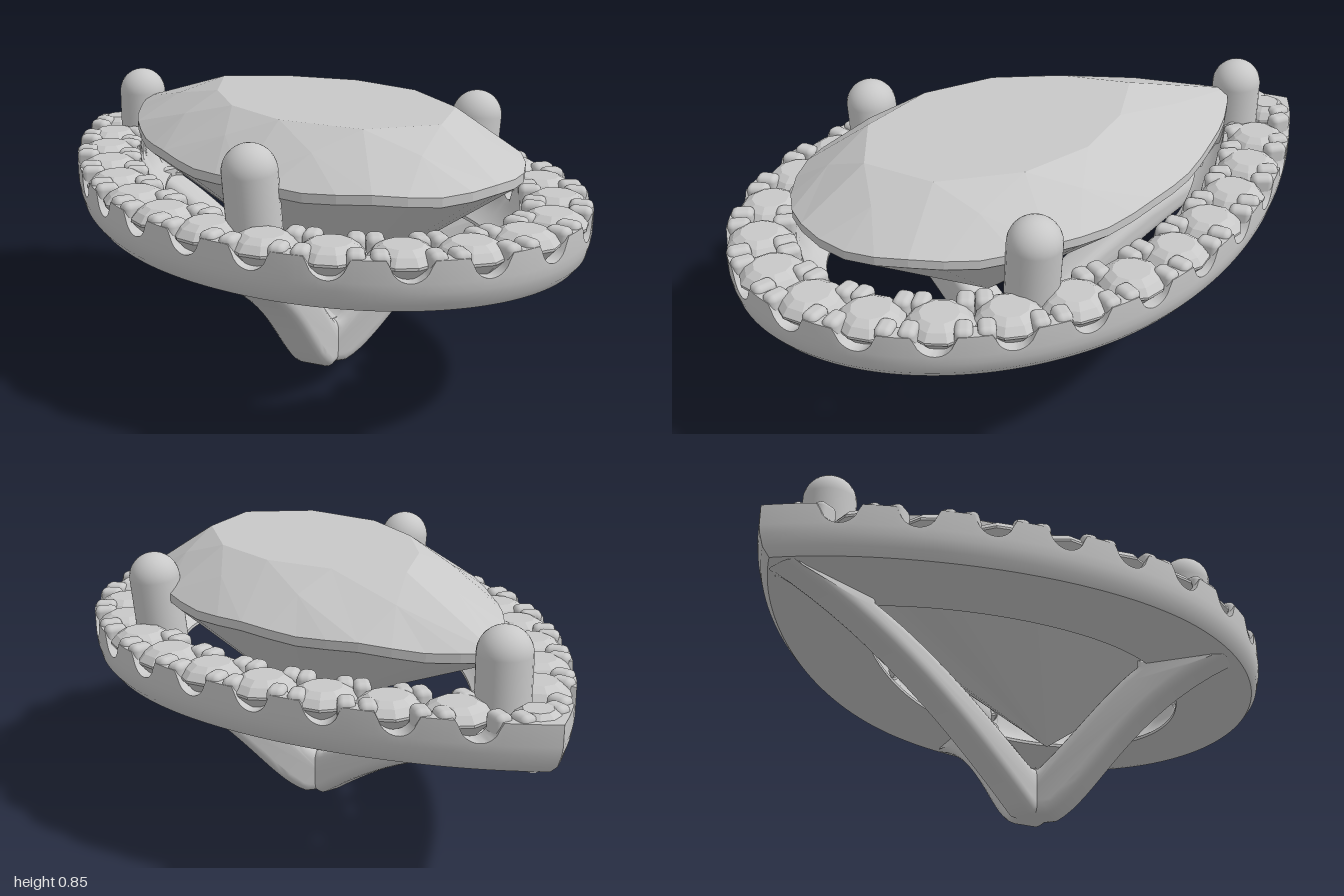
import * as THREE from 'three';
import { toCreasedNormals } from 'three/addons/utils/BufferGeometryUtils.js';
import { RoundedBoxGeometry } from 'three/addons/geometries/RoundedBoxGeometry.js';

const STONES = 24;
const W = 0.67, ZC = 0.17; // half-width of the pear outline and the z where it is widest

// Pear outline in (x, z), running from the back point over -x to the front and home over +x
const outline = new THREE.Path();
outline.moveTo(0, -1);
outline.bezierCurveTo(-0.3, -0.8, -W, -0.3, -W, ZC);
outline.bezierCurveTo(-W, 0.63, -0.37, 1, 0, 1);
outline.bezierCurveTo(0.37, 1, W, 0.63, W, ZC);
outline.bezierCurveTo(W, -0.3, 0.3, -0.8, 0, -1);
outline.arcLengthDivisions = 400;

// Point on the outline at fraction u, moved inwards by inset
function at(u, inset, y) {
  const p = outline.getPointAt(((u % 1) + 1) % 1);
  const dz = p.y - ZC;
  const k = dz < 0 ? (ZC + 1 - 1.4 * inset) / (ZC + 1) : (1 - inset - ZC) / (1 - ZC);
  return new THREE.Vector3(p.x * (W - inset) / W, y, ZC + dz * k);
}

// Flat-faceted geometry from a list of triangle corners
function facets(corners) {
  const g = new THREE.BufferGeometry().setFromPoints(corners);
  g.computeVertexNormals();
  return g;
}

// Halo setting: channel section swept round the outline, rims scalloped at each stone
// except the one at the point, with a sloping inner seat below the centre gem
function haloGeometry() {
  const n = STONES * 24;
  const section = [
    [0.28, 0.45], [0.06, 0.45], [0.03, 0.457], [0.012, 0.48], [0.003, 0.515], [0, 0.54],
    [0, 'rim'], [0.045, 'rim'], [0.055, 0.53], [0.15, 0.53], [0.16, 'rim'], [0.2, 'rim'],
    [0.21, 0.53], [0.24, 0.485], [0.28, 0.46],
  ];
  const points = [], index = [];
  for (const [inset, y] of section) {
    for (let i = 0; i < n; i++) {
      const s = (i / n) * STONES;
      const nearest = Math.round(s) % STONES;
      const p = nearest === 0 ? 1 : Math.abs(s - nearest) / 0.26;
      const rim = 0.603 - (p < 1 ? 0.06 * Math.sqrt(1 - p * p) : 0);
      points.push(at(i / n, inset, y === 'rim' ? rim : y));
    }
  }
  for (let r = 0; r < section.length; r++) {
    const a = r * n, b = ((r + 1) % section.length) * n;
    for (let i = 0; i < n; i++) {
      const j = (i + 1) % n;
      index.push(a + i, a + j, b + j, a + i, b + j, b + i);
    }
  }
  const g = new THREE.BufferGeometry().setFromPoints(points);
  g.setIndex(index);
  return toCreasedNormals(g, 0.6);
}

// Centre gem: table, star, kite and girdle facets above, pointed pavilion below
function gemGeometry() {
  const n = 10, m = 4 * n, c = [];
  const girdle = (i, y) => at(i / m, 0.197, y + 0.005 * Math.cos(i * Math.PI / 2));
  const top = (i) => girdle(i, 0.71), low = (i) => girdle(i, 0.683);
  const table = (i) => {
    const p = at(i / n, 0.2, 0.845);
    p.x *= 0.62;
    p.z = p.z < ZC ? ZC + (p.z - ZC) * 0.55 : ZC + (p.z - ZC) * 0.68;
    return p;
  };
  const mid = (i) => {
    const p = table(i).add(table(i + 1)).multiplyScalar(0.5);
    return p.lerp(at((i + 0.5) / n, 0.2, 0.71), 0.5).setY(0.79);
  };
  const centre = new THREE.Vector3(0, 0.845, 0.15);
  const culet = new THREE.Vector3(0, 0.265, 0.21);
  for (let i = 0; i < n; i++) {
    const g = 4 * i;
    c.push(table(i), table(i + 1), centre);
    c.push(table(i), mid(i), table(i + 1));
    c.push(table(i), mid(i - 1 + n), top(g), table(i), top(g), mid(i));
    for (let j = g; j < g + 4; j++) c.push(mid(i), top(j), top(j + 1));
  }
  for (let i = 0; i < m; i++) {
    c.push(low(i), low(i + 1), top(i + 1), low(i), top(i + 1), top(i));
    c.push(culet, low(i + 1), low(i));
  }
  return facets(c);
}

// Small round-cut halo stone
function stoneGeometry() {
  const profile = [[0, 0.47], [0.098, 0.575], [0.098, 0.582], [0.08, 0.603], [0.055, 0.617], [0, 0.617]]
    .map(([r, y]) => new THREE.Vector2(r, y));
  const g = new THREE.LatheGeometry(profile, 10).toNonIndexed();
  g.computeVertexNormals();
  return g;
}

// Basket arm: a side profile (distance from the foot, height) given a rounded thickness
function armGeometry(lower, upper, width) {
  const s = new THREE.Shape();
  s.moveTo(-0.05, 0.02);
  s.quadraticCurveTo(-0.03, 0, 0.06, 0);
  s.bezierCurveTo(...lower);
  s.lineTo(lower[4] - 0.03, 0.475);
  s.lineTo(upper[0], 0.475);
  s.lineTo(upper[0], 0.45);
  s.bezierCurveTo(...upper.slice(1));
  s.lineTo(-0.05, 0.15);
  s.closePath();
  const bevel = 0.03;
  const g = new THREE.ExtrudeGeometry(s, {
    depth: width - 2 * bevel, curveSegments: 16, bevelSize: bevel,
    bevelThickness: bevel, bevelOffset: -bevel, bevelSegments: 4,
  });
  g.translate(0, 0, bevel - width / 2);
  return toCreasedNormals(g, 0.7);
}

export function createModel() {
  const model = new THREE.Group();
  const silver = new THREE.MeshStandardMaterial({ color: 0xc8c8c8 });
  silver.name = 'silver grey';
  const add = (name, geometry, parent = model) => {
    const mesh = new THREE.Mesh(geometry, silver);
    mesh.name = name;
    parent.add(mesh);
    return mesh;
  };

  add('haloSetting', haloGeometry());
  add('centreGem', gemGeometry());

  // Halo stones, the one at the point smaller and further out
  const stones = new THREE.Group();
  stones.name = 'haloStones';
  const stone = stoneGeometry();
  for (let i = 0; i < STONES; i++) {
    const mesh = add('haloStone', stone, stones);
    const p = at(i / STONES, 0.1, 0);
    if (i === 0) {
      p.z = -0.9;
      mesh.scale.set(0.78, 1, 0.78);
    }
    mesh.position.copy(p);
    mesh.rotation.y = Math.atan2(p.x, p.z);
  }
  model.add(stones);

  // Pairs of rounded prongs between stones, on the outer and inner rims
  const prongs = new THREE.Group();
  prongs.name = 'smallProngs';
  const prong = new RoundedBoxGeometry(0.05, 0.07, 0.068, 3, 0.018);
  for (let i = 0; i < STONES; i++) {
    for (const side of [-1, 1]) {
      const u = (i + 0.5 + side * 0.15) / STONES;
      const inward = at(u, 0.2, 0).sub(at(u, 0, 0));
      for (const inset of [0.036, 0.168]) {
        const mesh = add('smallProng', prong, prongs);
        mesh.position.copy(at(u, inset, 0.585));
        mesh.rotation.y = Math.atan2(inward.x, inward.z);
      }
    }
  }
  model.add(prongs);

  // Three large claws holding the centre gem, the side pair leaning out
  for (const [name, x, z, top, lean] of [
    ['leftClaw', 0.47, 0.34, 0.83, -0.1], ['rightClaw', -0.47, 0.34, 0.83, 0.1], ['backClaw', 0, -0.76, 0.805, 0],
  ]) {
    const r = 0.078, bottom = 0.47;
    const claw = add(name, new THREE.CapsuleGeometry(r, top - bottom - 2 * r, 10, 24));
    claw.position.set(x, (top + bottom) / 2, z);
    claw.rotation.z = lean;
  }

  // Three basket arms meeting at the foot
  const sideArm = armGeometry([0.2, 0.06, 0.3, 0.32, 0.64, 0.45], [0.36, 0.25, 0.38, 0.13, 0.23, 0.03, 0.15], 0.13);
  const backArm = armGeometry([0.25, 0.13, 0.63, 0.387, 1.07, 0.45], [0.74, 0.45, 0.38, 0.2, 0.22, 0.06, 0.15], 0.11);
  for (const [name, geometry, angle] of [
    ['leftArm', sideArm, -0.395], ['rightArm', sideArm, Math.PI + 0.395], ['backArm', backArm, Math.PI / 2],
  ]) {
    const arm = add(name, geometry);
    arm.position.set(0, 0, 0.14);
    arm.rotation.y = angle;
  }
  return model;
}
